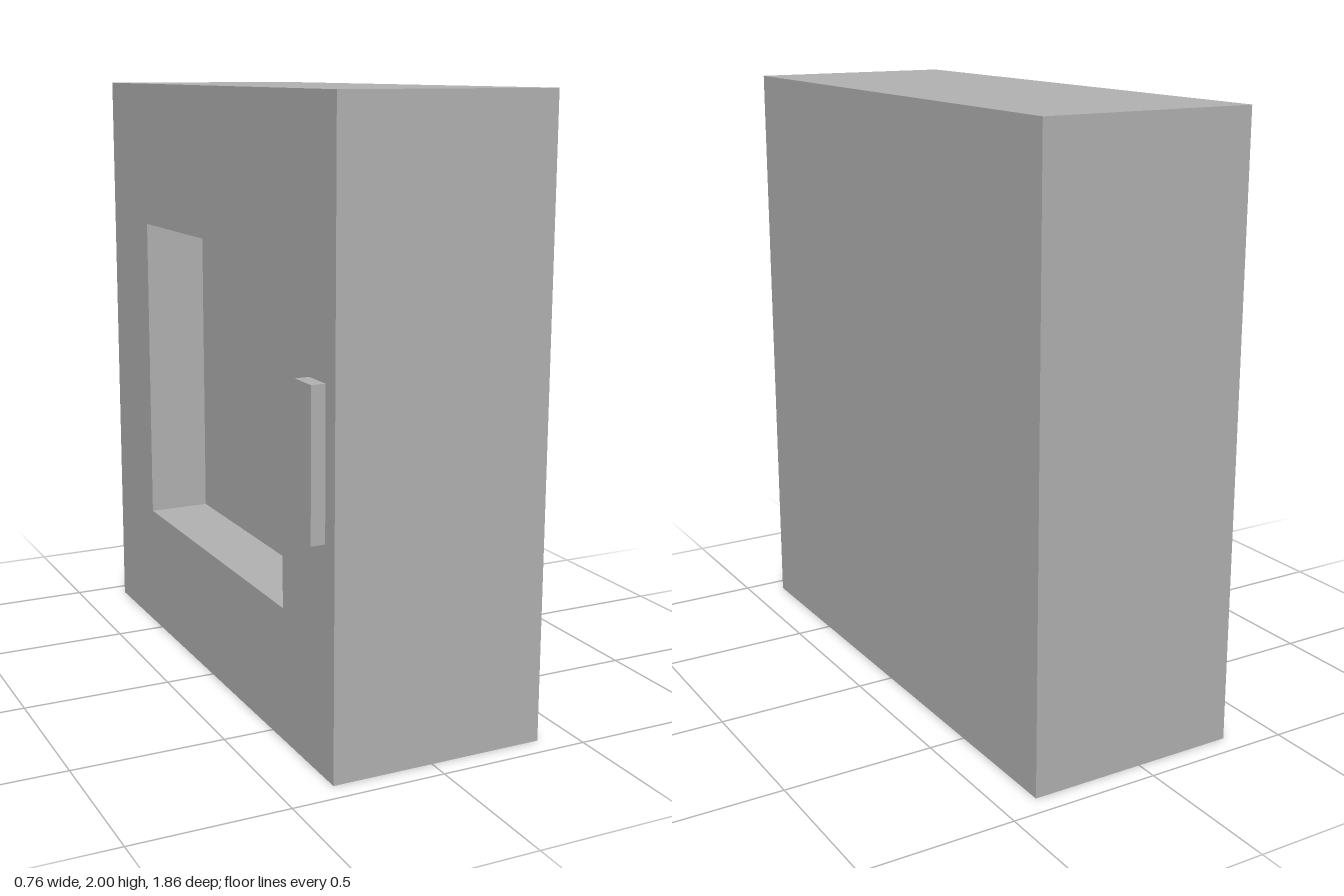
import * as THREE from 'three';

const FRONT_X = -0.333, PANEL_X = -0.12, BACK_X = 0.379;
const HEIGHT = 2, HALF_W = 0.928;

// Box given by its minimum and maximum corners
function box(name, min, max, material) {
  const size = max.map((v, i) => v - min[i]);
  const mesh = new THREE.Mesh(new THREE.BoxGeometry(...size), material);
  mesh.position.set(...max.map((v, i) => (v + min[i]) / 2));
  mesh.name = name;
  return mesh;
}

// Counter-clockwise rectangle outline
function rect(path, x0, y0, x1, y1) {
  path.moveTo(x0, y0);
  path.lineTo(x1, y0);
  path.lineTo(x1, y1);
  path.lineTo(x0, y1);
  path.closePath();
  return path;
}

export function createModel() {
  const group = new THREE.Group();
  group.name = 'cabinet';
  const grey = new THREE.MeshStandardMaterial({ color: 0xb2b2b2 });
  grey.name = 'grey';

  // Solid body behind the recess; its face is the recessed panel
  group.add(box('body', [PANEL_X, 0, -HALF_W], [BACK_X, HEIGHT, HALF_W], grey));

  // Frame around the square recess, facing -x
  const outline = rect(new THREE.Shape(), -HALF_W, 0, HALF_W, HEIGHT);
  outline.holes.push(rect(new THREE.Path(), -0.578, 0.432, 0.578, 1.505));
  const frameGeometry = new THREE.ExtrudeGeometry(outline, { depth: PANEL_X - FRONT_X, bevelEnabled: false });
  frameGeometry.rotateY(-Math.PI / 2);
  const frame = new THREE.Mesh(frameGeometry, grey);
  frame.position.x = PANEL_X;
  frame.name = 'frame';
  group.add(frame);

  // Upright handle beside the recess
  group.add(box('handle', [-0.379, 0.72, 0.762], [FRONT_X, 1.19, 0.868], grey));

  return group;
}
